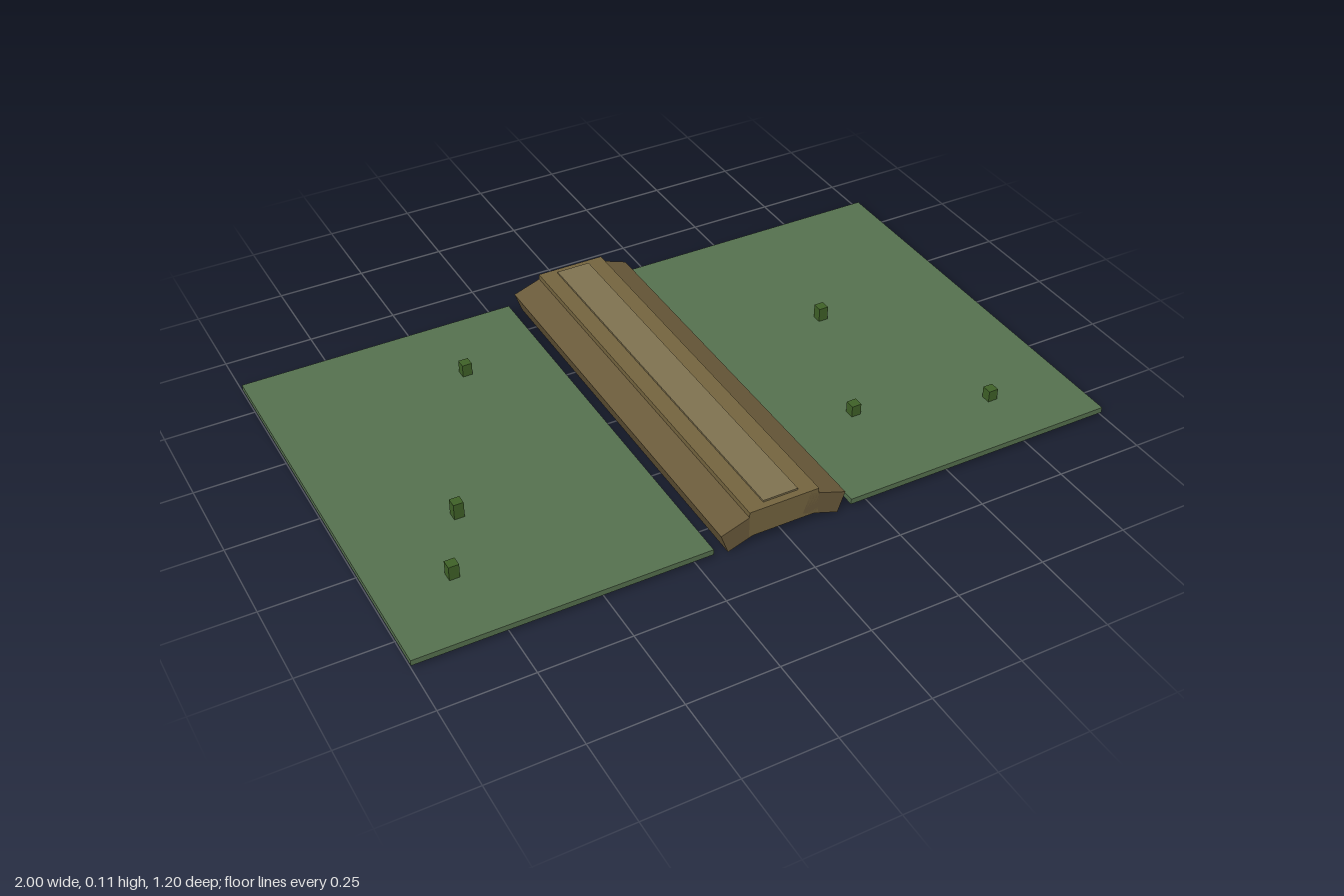
import * as THREE from 'three';

const material = (color) => new THREE.MeshStandardMaterial({ color, flatShading: true });

export function createModel() {
  const model = new THREE.Group();
  const grass = material(0x56714f);
  const earth = material(0x75653f);
  const bank = material(0x6b5b3b);
  const track = material(0x7f7250);
  const shrubGreen = material(0x3f6128);

  // Box given by its size and the height of its underside
  const box = (name, w, h, d, x, bottom, z, mat) => {
    const mesh = new THREE.Mesh(new THREE.BoxGeometry(w, h, d), mat);
    mesh.name = name;
    mesh.position.set(x, bottom + h / 2, z);
    model.add(mesh);
    return mesh;
  };

  // Raised bank with a worn track along its crest
  box('causewayCore', 0.2, 0.077, 1.2, 0, 0.025, 0, earth);
  box('trackStrip', 0.1, 0.012, 1.16, 0, 0.095, 0, track);

  // Sloping shoulders, their inner ends buried in the core, and the fields
  const tilt = 0.34, length = 0.11, thick = 0.062;
  const reachX = (length * Math.cos(tilt)) / 2 + (thick * Math.sin(tilt)) / 2;
  const reachY = (length * Math.sin(tilt)) / 2 + (thick * Math.cos(tilt)) / 2;
  for (const [side, s] of [['left', 1], ['right', -1]]) {
    const shoulder = box(side + 'Shoulder', length, thick, 1.2, 0, 0, 0, bank);
    shoulder.position.set(s * (0.18 - reachX), reachY, 0);
    shoulder.rotation.z = -s * tilt;
    box(side + 'Field', 0.8, 0.016, 1.2, s * 0.6, 0.009, 0, grass);
  }

  // Shrubs: x, z, top height
  const shrubs = [
    [-0.44, -0.36, 0.062], [-0.7, 0.18, 0.071], [-0.8, 0.38, 0.066],
    [0.56, -0.12, 0.066], [0.4, 0.3, 0.058], [0.76, 0.42, 0.058],
  ];
  shrubs.forEach(([x, z, top], i) =>
    box('shrub' + (i + 1), 0.028, top - 0.02, 0.028, x, 0.02, z, shrubGreen));

  return model;
}
